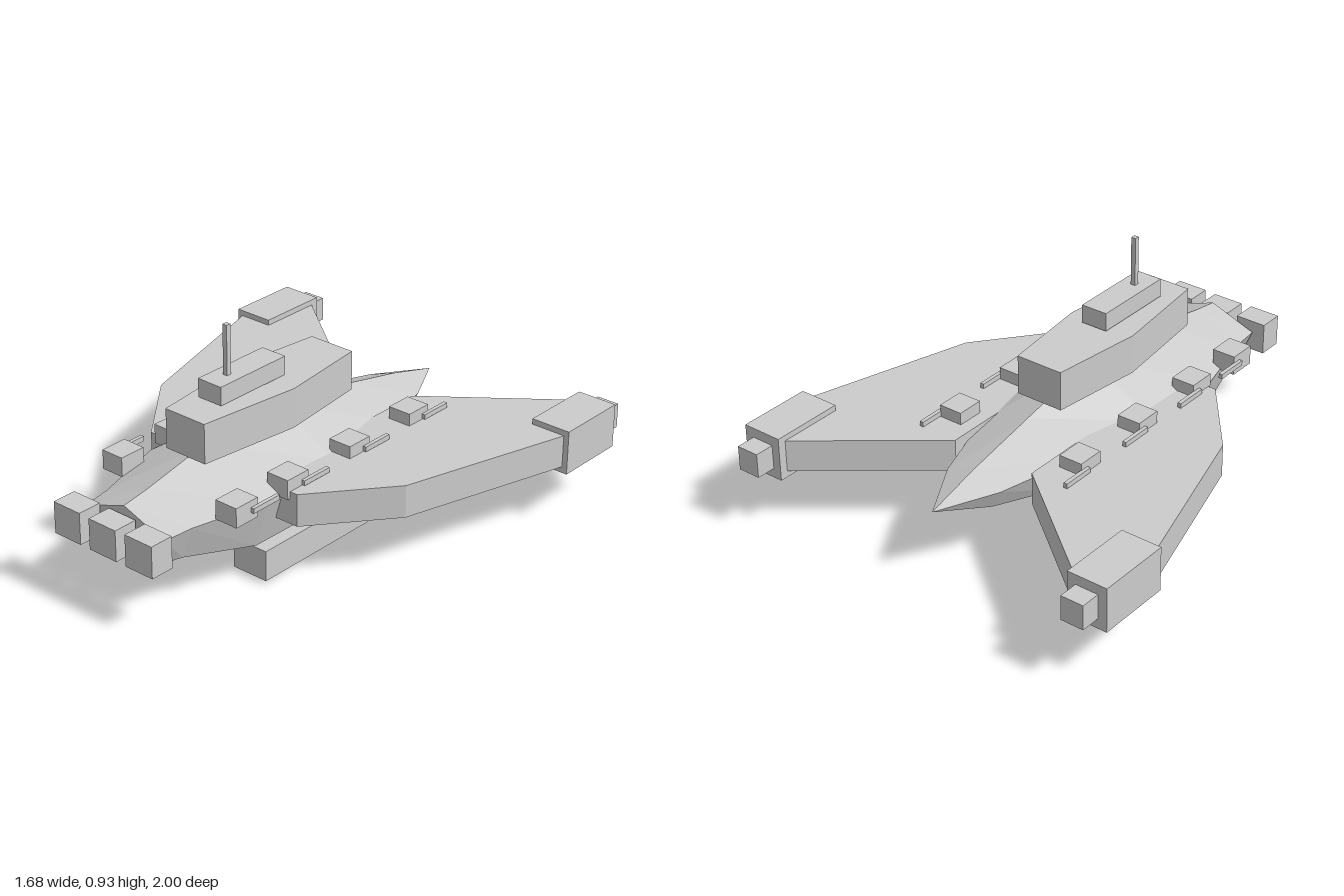
import * as THREE from 'three';

const material = new THREE.MeshStandardMaterial({ color: 0xcccccc, flatShading: true });

function addMesh(group, name, geometry) {
  const mesh = new THREE.Mesh(geometry, material);
  mesh.name = name;
  group.add(mesh);
  return mesh;
}

// Box given by its limits on each axis
function addBox(group, name, [x0, x1], [y0, y1], [z0, z1]) {
  const mesh = addMesh(group, name, new THREE.BoxGeometry(x1 - x0, y1 - y0, z1 - z0));
  mesh.position.set((x0 + x1) / 2, (y0 + y1) / 2, (z0 + z1) / 2);
}

// Slab with an [x, z] outline between two heights
function slab(outline, y0, y1) {
  const shape = new THREE.Shape(outline.map(([x, z]) => new THREE.Vector2(x, -z)));
  return new THREE.ExtrudeGeometry(shape, { depth: y1 - y0, bevelEnabled: false })
    .rotateX(-Math.PI / 2)
    .translate(0, y0, 0);
}

// Six-sided hull lofted through cross-sections, closed by a pointed end
function hullGeometry() {
  // z, ridge y, side x, side y, chine x, chine y, keel y
  const sections = [
    [0.89, 0.415, 0.195, 0.345, 0.14, 0.222, 0.212],
    [0.77, 0.433, 0.21, 0.35, 0.165, 0.215, 0.205],
    [0.46, 0.497, 0.295, 0.36, 0.235, 0.155, 0.137],
    [0.08, 0.525, 0.29, 0.36, 0.23, 0.147, 0.133],
    [-0.3, 0.447, 0.22, 0.355, 0.16, 0.205, 0.195],
    [-0.61, 0.382, 0.125, 0.335, 0.085, 0.257, 0.252],
    [-0.84, 0.32, 0, 0.32, 0, 0.32, 0.32],
  ];
  const positions = [];
  const index = [];
  for (const [z, top, sx, sy, cx, cy, keel] of sections) {
    positions.push(0, top, z, -sx, sy, z, -cx, cy, z, 0, keel, z, cx, cy, z, sx, sy, z);
  }
  for (let i = 0; i < sections.length - 1; i++) {
    for (let j = 0; j < 6; j++) {
      const k = (j + 1) % 6;
      const a = i * 6 + j, b = i * 6 + k, c = a + 6, d = b + 6;
      index.push(a, c, b);
      if (i < sections.length - 2) index.push(b, c, d);
    }
  }
  for (let j = 1; j < 5; j++) index.push(0, j, j + 1);
  const geometry = new THREE.BufferGeometry();
  geometry.setAttribute('position', new THREE.Float32BufferAttribute(positions, 3));
  geometry.setIndex(index);
  const flat = geometry.toNonIndexed();
  flat.computeVertexNormals();
  return flat;
}

export function createModel() {
  const model = new THREE.Group();
  model.name = 'spaceship';

  addMesh(model, 'hull', hullGeometry());

  // Raised deck, bridge and mast
  const deck = [[-0.1, -0.23], [-0.145, 0.15], [-0.095, 0.575], [0.095, 0.575], [0.145, 0.15], [0.1, -0.23]];
  addMesh(model, 'upperDeck', slab(deck, 0.485, 0.645));
  addBox(model, 'bridge', [-0.056, 0.056], [0.655, 0.73], [0.1, 0.445]);
  addBox(model, 'antenna', [-0.01, 0.01], [0.73, 0.93], [0.342, 0.362]);

  // Centre engine and belly pod
  addBox(model, 'centreEngine', [-0.066, 0.066], [0.26, 0.385], [0.9, 1]);
  addBox(model, 'bellyPod', [-0.096, 0.096], [0, 0.102], [-0.165, 0.26]);

  const wing = [[0.18, 0.385], [0.365, 0.385], [0.615, 0.075], [0.817, -0.62], [0.7, -0.91], [0.18, -0.5]];

  for (const side of [1, -1]) {
    const half = new THREE.Group();
    half.name = side > 0 ? 'leftSide' : 'rightSide';
    model.add(half);
    const span = (a, b) => (side > 0 ? [a, b] : [-b, -a]);

    // Wing with its tip block and thruster
    addMesh(half, 'wing', slab(wing.map(([x, z]) => [side * x, z]), 0.25, 0.382));
    addBox(half, 'wingTip', span(0.67, 0.838), [0.225, 0.405], [-0.92, -0.615]);
    addBox(half, 'wingThruster', span(0.705, 0.8), [0.265, 0.365], [-1, -0.92]);

    addBox(half, 'sideEngine', span(0.112, 0.242), [0.26, 0.388], [0.9, 1]);
    addBox(half, 'sidePod', span(0.113, 0.272), [0.014, 0.138], [-0.128, 0.45]);

    // Gun turrets along the flank
    for (const z of [-0.35, -0.002, 0.342, 0.613]) {
      addBox(half, 'turret', span(0.233, 0.332), [0.353, 0.432], [z - 0.056, z + 0.056]);
      addBox(half, 'gunBarrel', span(0.33, 0.346), [0.385, 0.405], [z - 0.156, z - 0.02]);
    }
  }

  return model;
}
